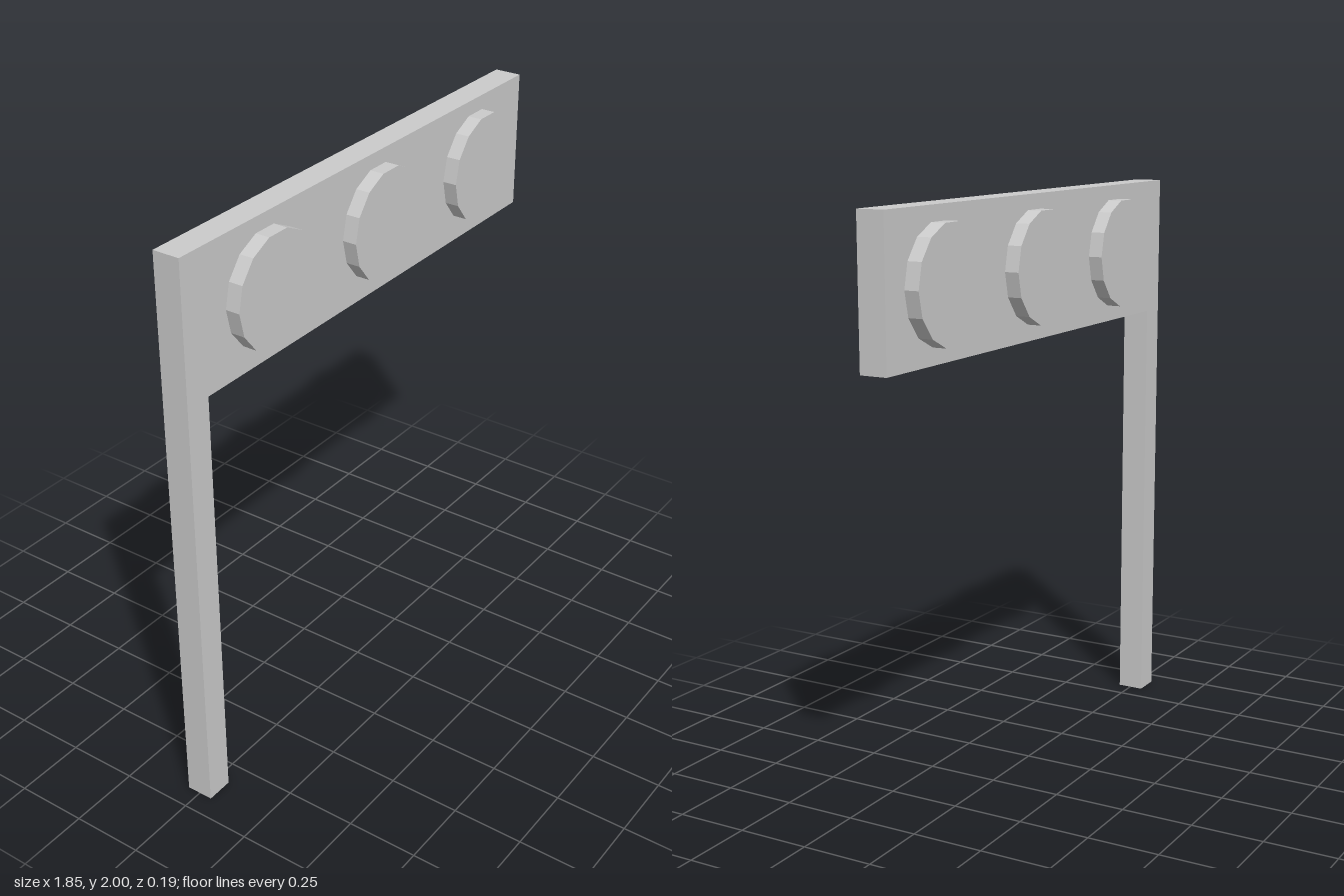
import * as THREE from 'three';

export function createModel() {
  const model = new THREE.Group();
  const grey = new THREE.MeshStandardMaterial({ color: 0xcccccc, flatShading: true });

  // One-piece L-shaped frame: tall post on one side carrying a wide panel
  const halfWidth = 0.925, depth = 0.095;
  const outline = new THREE.Shape([
    [-halfWidth, 0], [-0.83, 0], [-0.83, 1.515],
    [halfWidth, 1.515], [halfWidth, 2], [-halfWidth, 2],
  ].map(([x, y]) => new THREE.Vector2(x, y)));
  const frameGeometry = new THREE.ExtrudeGeometry(outline, { depth, bevelEnabled: false });
  frameGeometry.translate(0, 0, -depth / 2);
  const frame = new THREE.Mesh(frameGeometry, grey);
  frame.name = 'postAndPanel';
  model.add(frame);

  // Three 14-sided discs through the panel, raised on front and back
  const discGeometry = new THREE.CylinderGeometry(0.193, 0.193, 0.195, 14, 1, false, Math.PI / 2);
  discGeometry.rotateX(Math.PI / 2);
  for (let i = 0; i < 3; i++) {
    const disc = new THREE.Mesh(discGeometry, grey);
    disc.name = `disc${i + 1}`;
    disc.position.set(-0.54 + i * 0.586, 1.76, 0);
    model.add(disc);
  }

  return model;
}
